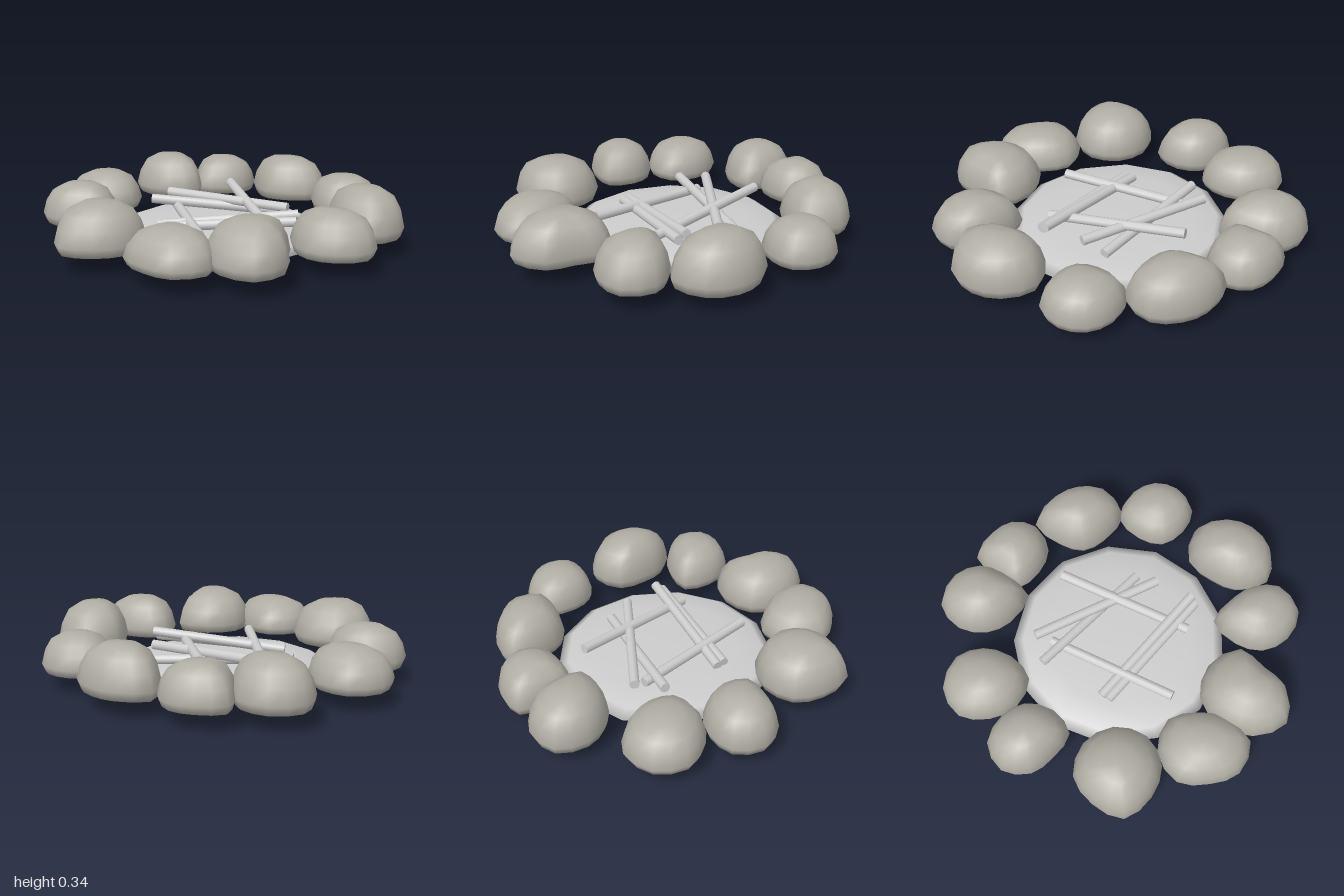
import * as THREE from 'three';
import { mergeVertices } from 'three/addons/utils/BufferGeometryUtils.js';

const stoneMaterial = new THREE.MeshStandardMaterial({ color: 0xb0ada4, roughness: 1 });
const greyMaterial = new THREE.MeshStandardMaterial({ color: 0xcccccc });

// Each stone: centre x, centre z, top height, then its reach in eight directions from +x towards +z
const STONES = [
  [-0.155, -0.775, 0.33, [0.25, 0.19, 0.19, 0.19, 0.26, 0.20, 0.19, 0.23]],
  [0.30, -0.765, 0.29, [0.20, 0.18, 0.19, 0.19, 0.23, 0.20, 0.19, 0.19]],
  [0.675, -0.44, 0.345, [0.23, 0.25, 0.20, 0.18, 0.24, 0.26, 0.22, 0.21]],
  [0.76, -0.065, 0.31, [0.24, 0.21, 0.20, 0.20, 0.24, 0.17, 0.17, 0.22]],
  [0.63, 0.365, 0.325, [0.22, 0.27, 0.24, 0.23, 0.25, 0.25, 0.25, 0.17]],
  [0.365, 0.63, 0.28, [0.25, 0.23, 0.20, 0.24, 0.25, 0.24, 0.19, 0.20]],
  [-0.10, 0.71, 0.33, [0.23, 0.22, 0.25, 0.22, 0.24, 0.24, 0.24, 0.24]],
  [-0.555, 0.48, 0.31, [0.22, 0.17, 0.19, 0.22, 0.22, 0.19, 0.19, 0.20]],
  [-0.755, 0.15, 0.29, [0.23, 0.21, 0.20, 0.23, 0.24, 0.23, 0.20, 0.20]],
  [-0.74, -0.335, 0.325, [0.25, 0.20, 0.19, 0.21, 0.24, 0.22, 0.20, 0.19]],
  [-0.545, -0.605, 0.30, [0.19, 0.18, 0.21, 0.17, 0.22, 0.18, 0.19, 0.20]],
];

// Stone cross-sections from bottom to top: outline scale, share of the height
const RINGS = [[0, 0], [0.6, 0.01], [0.92, 0.05], [1, 0.24], [0.91, 0.55], [0.74, 0.8], [0.42, 0.96], [0, 1]];
const STONE_BASE = 0.08;
const SIDES = 16;

function stoneGeometry(top, reach) {
  const outline = new THREE.CatmullRomCurve3(reach.map((r, i) => {
    const a = (i / reach.length) * Math.PI * 2;
    return new THREE.Vector3(r * Math.cos(a), 0, r * Math.sin(a));
  }), true).getPoints(SIDES).slice(0, SIDES);

  const positions = [];
  const index = [];
  RINGS.forEach(([scale, share], i) => {
    for (let j = 0; j < SIDES; j++) {
      const p = outline[j];
      positions.push(p.x * scale, STONE_BASE + (top - STONE_BASE) * share, p.z * scale);
      if (i === RINGS.length - 1) continue;
      const a = i * SIDES + j;
      const b = i * SIDES + (j + 1) % SIDES;
      if (i > 0) index.push(a, a + SIDES, b);
      if (i < RINGS.length - 2) index.push(b, a + SIDES, b + SIDES);
    }
  });
  // The bottom fan uses the first ring as its tip, the top fan the last one
  const geometry = new THREE.BufferGeometry();
  geometry.setAttribute('position', new THREE.Float32BufferAttribute(positions, 3));
  geometry.setIndex(index);
  const welded = mergeVertices(geometry, 1e-4);
  welded.computeVertexNormals();
  return welded;
}

// Log ends: start x, y, z and end x, y, z
const LOGS = [
  [-0.29, 0.20, -0.415, 0.37, 0.13, -0.04],
  [-0.47, 0.17, -0.085, 0.235, 0.16, -0.335],
  [-0.445, 0.16, 0.07, 0.13, 0.11, -0.40],
  [-0.385, 0.12, -0.06, 0.235, 0.14, 0.335],
  [-0.145, 0.11, 0.28, 0.415, 0.18, -0.215],
  [-0.11, 0.11, 0.305, 0.43, 0.15, -0.18],
];

function makeLog([x1, y1, z1, x2, y2, z2]) {
  const start = new THREE.Vector3(x1, y1, z1);
  const end = new THREE.Vector3(x2, y2, z2);
  const along = end.clone().sub(start);
  const log = new THREE.Mesh(new THREE.CylinderGeometry(0.027, 0.027, along.length(), 10), greyMaterial);
  log.position.copy(start).lerp(end, 0.5);
  log.quaternion.setFromUnitVectors(new THREE.Vector3(0, 1, 0), along.normalize());
  return log;
}

export function createModel() {
  const model = new THREE.Group();
  model.name = 'campfire';

  // Low domed bed of ash under the logs
  const profile = [[0, 0], [0.3, 0], [0.53, 0.008], [0.595, 0.035], [0.54, 0.07], [0.4, 0.09], [0.2, 0.1], [0, 0.1]];
  const bed = new THREE.Mesh(
    new THREE.LatheGeometry(profile.map(([r, y]) => new THREE.Vector2(r, y)), 13), greyMaterial);
  bed.name = 'ashBed';
  bed.position.set(-0.01, 0, -0.045);
  bed.rotation.y = Math.PI;
  model.add(bed);

  // Ring of rounded stones
  const ring = new THREE.Group();
  ring.name = 'stoneRing';
  STONES.forEach(([x, z, top, reach], i) => {
    const stone = new THREE.Mesh(stoneGeometry(top, reach), stoneMaterial);
    stone.name = `stone${i + 1}`;
    stone.position.set(x, 0, z);
    ring.add(stone);
  });
  model.add(ring);

  // Crossed logs
  const pile = new THREE.Group();
  pile.name = 'logPile';
  LOGS.forEach((ends, i) => {
    const log = makeLog(ends);
    log.name = `log${i + 1}`;
    pile.add(log);
  });
  model.add(pile);

  return model;
}
